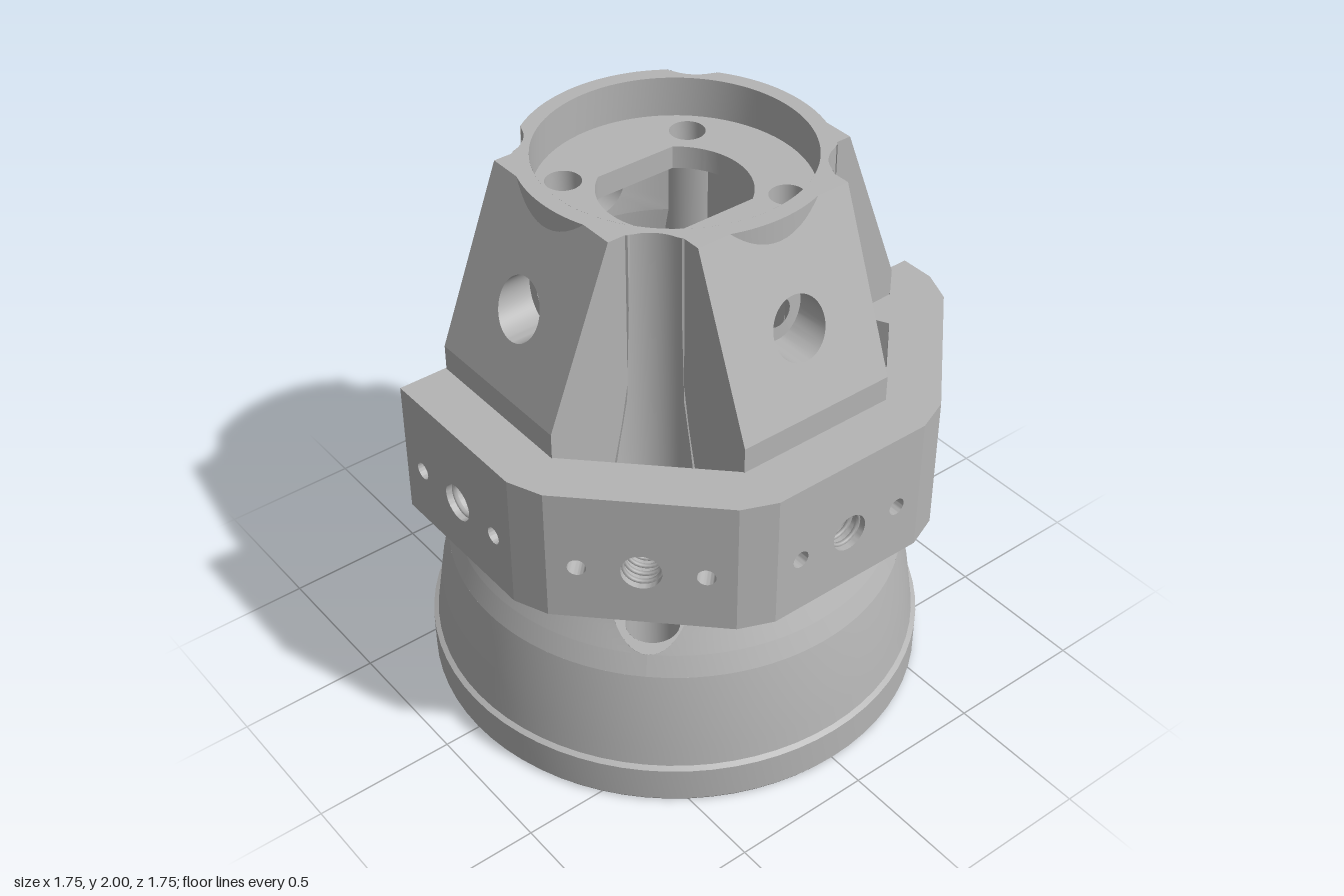
import * as THREE from 'three';
import { toCreasedNormals } from 'three/addons/utils/BufferGeometryUtils.js';

const TAU = Math.PI * 2;
const NECK = 0.505, PD = 0.62, PR = 0.145, PY = 0.57;   // neck radius; pocket distance, radius, floor
const Y0 = 0.825, Y1 = 1.31, IN = 0.7, OUT = 0.877, HW = 0.295; // collar heights, depths, half width
const HOLE_Y = 1.66, HH = 0.2;

// outer radius of the flared body by height
const PROFILE = [[0.5, 0.795], [0.57, 0.765], [0.65, 0.725], [0.72, 0.692], [0.8, 0.657], [0.9, 0.62],
  [1, 0.59], [1.1, 0.566], [1.2, 0.546], [1.32, 0.524], [1.46, NECK], [2, NECK]];
function radius(y) {
  let i = 1;
  while (i < PROFILE.length - 1 && PROFILE[i][0] < y) i++;
  const [a, b] = [PROFILE[i - 1], PROFILE[i]];
  return a[1] + (b[1] - a[1]) * (y - a[0]) / (b[0] - a[0]);
}
function heightAt(r) {
  if (r <= NECK) return 2;
  const i = Math.max(1, PROFILE.findIndex(p => p[1] <= r));
  const [a, b] = [PROFILE[i - 1], PROFILE[i]];
  return a[0] + (b[0] - a[0]) * (r - a[1]) / (b[1] - a[1]);
}
// half angle that a screw pocket takes out of the body at a height
function cutAngle(y) {
  if (y <= PY) return 0;
  const R = radius(y);
  return Math.acos(Math.min(1, (R * R + PD * PD - PR * PR) / (2 * R * PD)));
}

// smooth surface from a rule f(u, v) -> [x, y, z]
function grid(nu, nv, f) {
  const pos = [], idx = [];
  for (let j = 0; j <= nv; j++) for (let i = 0; i <= nu; i++) pos.push(...f(i / nu, j / nv));
  for (let j = 0; j < nv; j++) for (let i = 0; i < nu; i++) {
    const a = j * (nu + 1) + i, b = a + nu + 1;
    idx.push(a, a + 1, b, a + 1, b + 1, b);
  }
  const g = new THREE.BufferGeometry();
  g.setAttribute('position', new THREE.Float32BufferAttribute(pos, 3));
  g.setIndex(idx);
  g.computeVertexNormals();
  return g;
}
const circle = (x, y, r) => new THREE.Path().absarc(x, y, r, 0, TAU, true);
const poly = pts => new THREE.Shape(pts.map(p => new THREE.Vector2(...p)));
const extrude = (shape, depth) => toCreasedNormals(
  new THREE.ExtrudeGeometry(shape, { depth, bevelEnabled: false, curveSegments: 24 }), 0.6);
// horizontal slab from an (x, z) outline
const slab = (shape, y0, y1) => extrude(shape, y1 - y0).rotateX(Math.PI / 2).translate(0, y1, 0);
const lathe = pts => toCreasedNormals(
  new THREE.LatheGeometry(pts.map(p => new THREE.Vector2(...p)), 72), 0.4);

// buttress: straight foot plus a sloped upper part curved onto the neck
function buttressTop(u0, u1, hole) {
  const pts = [], n = 8;
  for (let i = 0; i <= n; i++) pts.push([u0 + (u1 - u0) * i / n, 1.4]);
  for (let i = n; i >= 0; i--) pts.push([u0 + (u1 - u0) * i / n, 2]);
  const s = poly(pts);
  if (hole) s.holes.push(circle(0, HOLE_Y, hole));
  const g = new THREE.ExtrudeGeometry(s, { depth: 1, bevelEnabled: false, curveSegments: 32 });
  const p = g.attributes.position;
  for (let i = 0; i < p.count; i++) {
    const x = p.getX(i), y = p.getY(i);
    p.setZ(i, p.getZ(i) > 0.5 ? 0.705 - 0.383 * (y - 1.4) : Math.sqrt(0.48 ** 2 - x * x));
  }
  return toCreasedNormals(g, 0.6);
}

export function createModel() {
  const model = new THREE.Group();
  const grey = new THREE.MeshStandardMaterial({ color: 0xb4b4b4, side: THREE.DoubleSide });
  grey.name = 'plainGrey';
  const add = (name, geo, turn = 0) => {
    const m = new THREE.Mesh(geo, grey);
    m.name = name;
    m.rotation.y = turn;
    model.add(m);
    return m;
  };

  // base: foot rim, lower skirt, recessed bottom plate with holes
  add('footRim', lathe([[0.795, 0.14], [0.795, 0.01], [0.805, 0], [0.865, 0], [0.872, 0.01], [0.872, 0.14], [0.855, 0.15]]));
  add('skirt', lathe([[0.855, 0.15], [0.845, 0.22], [0.828, 0.34], [0.795, 0.5]]));
  const bottom = new THREE.Shape().absarc(0, 0, 0.8, 0, TAU, false);
  bottom.holes.push(circle(0, 0, 0.36));
  const q = PD * Math.SQRT1_2;
  const screws = [[q, q], [q, -q], [-q, q], [-q, -q]], extra = [[-0.05, 0.63], [0.05, -0.63]];
  for (const [x, z] of [...screws, ...extra]) bottom.holes.push(circle(x, z, 0.09));
  add('bottomPlate', slab(bottom, 0.14, 0.16));
  add('bore', lathe([[0.36, 0.14], [0.36, 1.4]]));
  for (const [x, z] of [...screws, ...extra]) {
    const h = x * x > 0.1 ? PY - 0.14 : 0.25;
    add('screwHole', new THREE.CylinderGeometry(0.09, 0.09, h, 24, 1, true).translate(x, 0.14 + h / 2, z));
  }

  // four body quarters between the pockets, each with an opening in the neck
  const onBody = (a, y) => { const R = radius(y); return [R * Math.sin(a), y, R * Math.cos(a)]; };
  const openings = [0.05, 0.05, 0, 0.1];
  for (let k = 0; k < 4; k++) {
    const turn = k * Math.PI / 2;
    const half = y => Math.PI / 4 - cutAngle(y);
    add('flare', grid(24, 44, (u, v) => {
      const y = v === 0 ? 0.5 : PY + (1.46 - PY) * ((v * 44 - 1) / 43) ** 2;
      return onBody((2 * u - 1) * half(y), y);
    }), turn);
    add('neckTop', grid(24, 1, (u, v) => onBody((2 * u - 1) * half(1.9), 1.86 + 0.14 * v)), turn);
    const W = half(HOLE_Y), r = openings[k];
    add('neckOpening', grid(64, 6, (u, v) => {
      const c = Math.cos(u * TAU), s = Math.sin(u * TAU), m = Math.max(Math.abs(c), Math.abs(s));
      const ix = r ? r * c / NECK : 0.36 * c / m, iy = r ? r * s : -0.09 + 0.09 * s / m;
      return onBody(ix + (W * c / m - ix) * v, HOLE_Y + iy + (HH * s / m - iy) * v);
    }), turn);
  }
  add('sideHoleLining', new THREE.CylinderGeometry(0.1, 0.1, 0.1, 32, 1, true)
    .rotateZ(Math.PI / 2).translate(-0.448, HOLE_Y, 0));
  add('backRecessFloor', new THREE.BoxGeometry(0.38, 0.02, 0.24).translate(0, 1.47, -0.39));
  add('backRecessWall', new THREE.BoxGeometry(0.38, 0.3, 0.02).translate(0, 1.6, -0.3));

  // screw pockets sunk into the flare
  for (const [x, z] of screws) {
    add('pocketWall', grid(48, 1, (u, v) => {
      const px = x + PR * Math.cos(u * TAU), pz = z + PR * Math.sin(u * TAU);
      return [px, PY + (heightAt(Math.hypot(px, pz)) - PY) * v, pz];
    }));
    add('pocketFloor', new THREE.RingGeometry(0.09, PR, 36).rotateX(-Math.PI / 2).translate(x, PY, z));
  }

  // top rim and inner shelf with a flat-sided opening
  const cut = Math.sqrt(NECK ** 2 - 0.475 ** 2) * 0.2;
  add('topRim', grid(144, 1, (u, v) => {
    const a = u * TAU, off = Math.abs((a % (Math.PI / 2)) - Math.PI / 4), s = PD * Math.sin(off);
    let R = NECK;
    if (s < PR) R = Math.min(R, PD * Math.cos(off) - Math.sqrt(PR * PR - s * s));
    R = 0.45 + (R - 0.45) * v;
    return [R * Math.sin(a), 2, R * Math.cos(a)];
  }));
  add('topRimInside', lathe([[0.45, 1.86], [0.45, 2]]));
  const shelf = new THREE.Shape().absarc(0, 0, 0.455, 0, TAU, false);
  const opening = new THREE.Path(), t = Math.atan2(0.15, 0.2);
  opening.absarc(0, 0, 0.25, t, Math.PI - t, false);
  opening.absarc(0, 0, 0.25, Math.PI + t, TAU - t, false);
  opening.closePath();
  shelf.holes.push(opening);
  for (const x of [-0.25, 0.25]) for (const z of [-0.25, 0.25]) shelf.holes.push(circle(x, z, 0.06));
  add('innerShelf', slab(shelf, 1.78, 1.86));

  // collar plates, each with one threaded hole and two pin holes
  for (let k = 0; k < 4; k++) {
    const turn = k * Math.PI / 4;
    const s = poly([[-HW, Y0], [HW, Y0], [HW, Y1], [-HW, Y1]]);
    s.holes.push(circle(0, 1.03, 0.065), circle(-0.2, 1.03, 0.03), circle(0.2, 1.03, 0.03));
    add('collarPlate', extrude(s, OUT - IN).translate(0, 0, IN), turn);
    for (let i = 0; i < 4; i++)
      add('threadRing', new THREE.TorusGeometry(0.064, 0.009, 5, 24).translate(0, 1.03, OUT - 0.03 - i * 0.035), turn);
    const c = Math.SQRT1_2;
    add('collarCorner', slab(poly([[HW, IN], [HW, OUT], [(OUT - HW) * c, (OUT + HW) * c]]), Y0, Y1), turn);
  }
  add('collarEnd', new THREE.BoxGeometry(0.125, Y1 - Y0, OUT - IN)
    .translate(-0.2325, (Y0 + Y1) / 2, (IN + OUT) / 2), Math.PI);
  // fillers beside the rear corner pocket
  for (const s of [-1, 1])
    add('collarFiller', slab(poly([[s * HW, IN], [s * 0.121, IN], [s * 0.145, 0.62], [s * 0.115, 0.53]]), Y0, Y1), Math.PI * 0.75);

  // buttresses: two wide drilled ones and a narrow rib at the back
  for (const [turn, u0, u1, hole] of [[0, -0.29, 0.29, 0.1], [Math.PI / 2, -0.29, 0.29, 0.1], [Math.PI, -0.28, -0.17, 0]]) {
    add('buttressFoot', new THREE.BoxGeometry(u1 - u0, 1.4 - Y0, 0.305)
      .translate((u0 + u1) / 2, (1.4 + Y0) / 2, 0.5525), turn);
    add('buttress', buttressTop(u0, u1, hole), turn);
  }
  return model;
}
